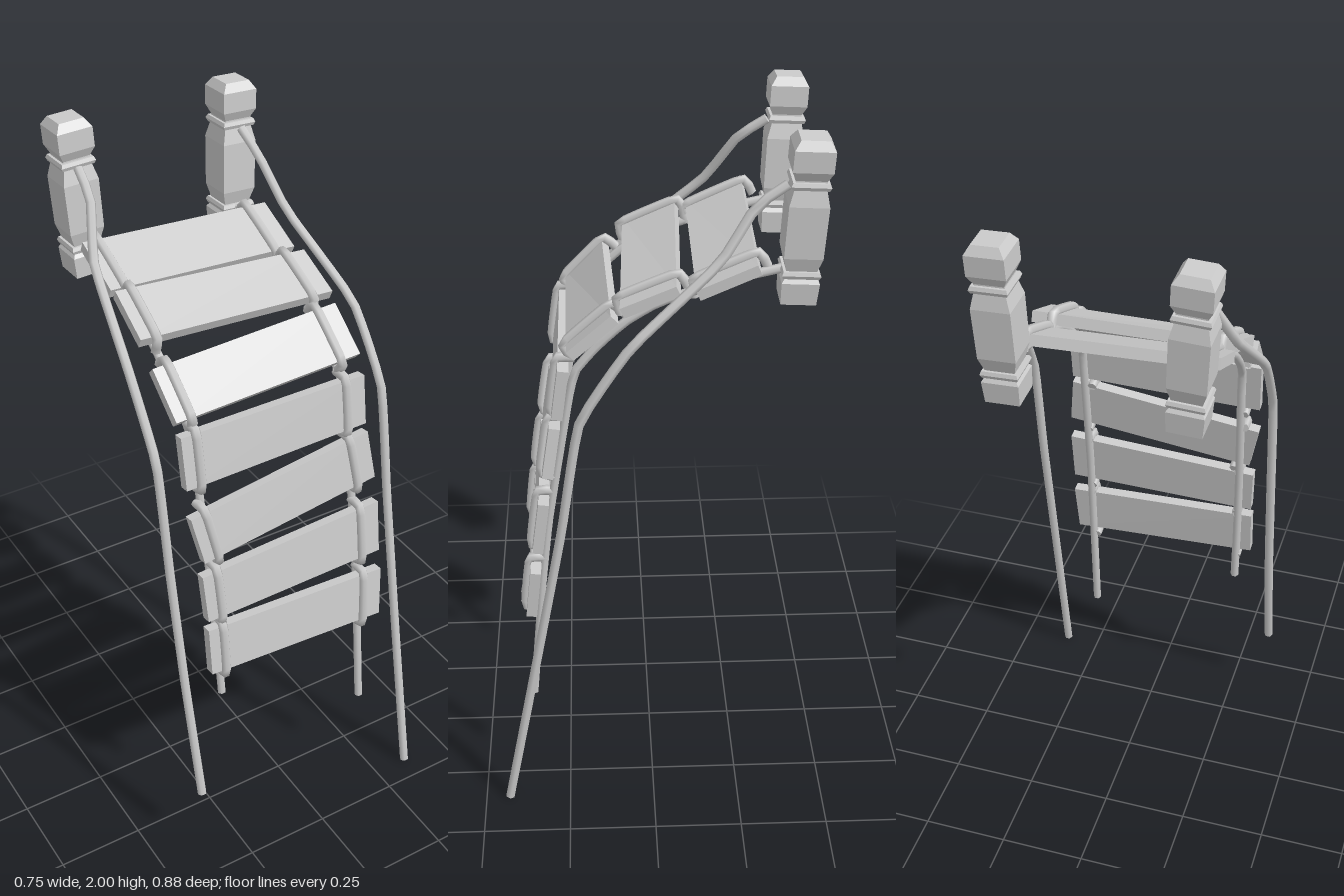
import * as THREE from 'three';

const V = (x, y, z) => new THREE.Vector3(x, y, z);
const flat = new THREE.MeshStandardMaterial({ color: 0xcccccc, flatShading: true });
const smooth = new THREE.MeshStandardMaterial({ color: 0xcccccc });

// Capped rope that follows a list of points
function rope(name, points, radius, segments) {
  const group = new THREE.Group();
  group.name = name;
  const curve = new THREE.CatmullRomCurve3(points, false, 'catmullrom', 0.2);
  group.add(new THREE.Mesh(new THREE.TubeGeometry(curve, segments, radius, 6), smooth));
  for (const t of [0, 1]) {
    const cap = new THREE.Mesh(new THREE.CircleGeometry(radius, 6), smooth);
    const p = curve.getPointAt(t);
    cap.position.copy(p);
    cap.lookAt(p.clone().addScaledVector(curve.getTangentAt(t), t ? 1 : -1));
    group.add(cap);
  }
  return group;
}

// Square post with a swollen shaft, pinched necks and a bevelled cap
function post(name, bottom, top) {
  const profile = [
    [0, 0], [0.046, 0], [0.049, 0.06], [0.039, 0.075], [0.039, 0.09], [0.05, 0.13],
    [0.051, 0.27], [0.04, 0.315], [0.039, 0.335], [0.051, 0.36], [0.051, 0.415],
    [0.036, 0.438], [0, 0.438],
  ].map(([r, y]) => new THREE.Vector2(r * Math.SQRT2, y));
  const group = new THREE.Group();
  group.name = name;
  group.add(new THREE.Mesh(new THREE.LatheGeometry(profile, 4, Math.PI / 4), flat));
  // Rope turns tied round both necks
  for (const y of [0.082, 0.322]) {
    const knot = new THREE.Mesh(new THREE.TorusGeometry(0.06, 0.011, 6, 4), flat);
    knot.name = 'ropeKnot';
    knot.rotation.set(Math.PI / 2, 0, Math.PI / 4);
    knot.position.y = y;
    group.add(knot);
  }
  group.position.copy(bottom);
  group.quaternion.setFromUnitVectors(V(0, 1, 0), top.clone().sub(bottom).normalize());
  return group;
}

// Slanted board set by its four corners, with a strap over each end
function plank(name, [lu, ll, ru, rl]) {
  const group = new THREE.Group();
  group.name = name;
  const at = (u, v) => lu.clone().lerp(ru, u).lerp(ll.clone().lerp(rl, u), v);
  const down = at(0.5, 1).sub(at(0.5, 0)).normalize();
  const normal = down.clone().cross(at(1, 0.5).sub(at(0, 0.5))).normalize();

  const geometry = new THREE.BoxGeometry(1, 1, 0.03);
  const pos = geometry.attributes.position;
  for (let i = 0; i < pos.count; i++) {
    const p = at(pos.getX(i) + 0.5, 0.5 - pos.getY(i)).addScaledVector(normal, pos.getZ(i));
    pos.setXYZ(i, p.x, p.y, p.z);
  }
  group.add(new THREE.Mesh(geometry, flat));

  for (const u of [0.075, 0.89]) {
    const place = (v, along, out) => at(u, v).addScaledVector(down, along).addScaledVector(normal, out);
    group.add(rope('strap', [
      place(0, -0.016, -0.028), place(0, -0.006, 0.019),
      place(1, 0.006, 0.019), place(1, 0.016, -0.028),
    ], 0.014, 12));
  }
  return group;
}

export function createModel() {
  const model = new THREE.Group();
  model.name = 'brokenRopeBridge';

  model.add(post('rightPost', V(-0.265, 1.562, -0.371), V(-0.284, 2, -0.39)));
  model.add(post('leftPost', V(0.2, 1.562, -0.371), V(0.217, 2, -0.392)));

  // Hand ropes: x, y, z
  const rightHand = [[-0.282, 1.875, -0.335], [-0.29, 1.82, -0.255], [-0.333, 1.685, -0.165],
    [-0.361, 1.49, 0.06], [-0.362, 1.28, 0.195], [-0.362, 0.95, 0.25], [-0.361, 0.6, 0.315],
    [-0.361, 0.235, 0.4]];
  const leftHand = [[0.216, 1.875, -0.335], [0.226, 1.82, -0.255], [0.262, 1.685, -0.165],
    [0.335, 1.49, 0.06], [0.349, 1.28, 0.195], [0.352, 0.95, 0.25], [0.354, 0.5, 0.335],
    [0.357, 0.008, 0.43]];
  model.add(rope('rightHandRope', rightHand.map((p) => V(...p)), 0.0135, 36));
  model.add(rope('leftHandRope', leftHand.map((p) => V(...p)), 0.0135, 36));

  // Deck ropes share one path (y, z) and end at different heights
  const deck = [[1.645, -0.335], [1.615, -0.205], [1.555, -0.02], [1.5, 0.07], [1.43, 0.145],
    [1.365, 0.2], [1.305, 0.218], [1.11, 0.252], [0.9, 0.287], [0.69, 0.312]];
  const deckRope = (name, x0, x1, end) => rope(name, [...deck, end].map(([y, z], i, all) =>
    V(THREE.MathUtils.lerp(x0, x1, Math.max(0, i - 4) / (all.length - 5)), y, z)), 0.0125, 44);
  model.add(deckRope('rightDeckRope', -0.272, -0.25, [0.525, 0.328]));
  model.add(deckRope('leftDeckRope', 0.2, 0.22, [0.295, 0.35]));

  // Planks from top to bottom: right upper, right lower, left upper, left lower corners
  const planks = [
    [[-0.315, 1.685, -0.275], [-0.315, 1.615, -0.12], [0.25, 1.66, -0.27], [0.25, 1.592, -0.115]],
    [[-0.317, 1.628, -0.09], [-0.325, 1.56, 0.058], [0.249, 1.605, -0.065], [0.248, 1.545, 0.079]],
    [[-0.326, 1.51, 0.115], [-0.318, 1.402, 0.22], [0.242, 1.525, 0.098], [0.248, 1.425, 0.215]],
    [[-0.318, 1.375, 0.235], [-0.316, 1.222, 0.257], [0.247, 1.38, 0.235], [0.247, 1.235, 0.255]],
    [[-0.314, 1.135, 0.272], [-0.287, 0.995, 0.295], [0.25, 1.21, 0.262], [0.267, 1.065, 0.285]],
    [[-0.299, 0.955, 0.302], [-0.294, 0.812, 0.322], [0.273, 0.985, 0.298], [0.272, 0.825, 0.32]],
    [[-0.296, 0.782, 0.325], [-0.296, 0.635, 0.342], [0.277, 0.76, 0.328], [0.269, 0.607, 0.345]],
  ];
  planks.forEach((corners, i) => model.add(plank(`plank${i + 1}`, corners.map((c) => V(...c)))));

  return model;
}
